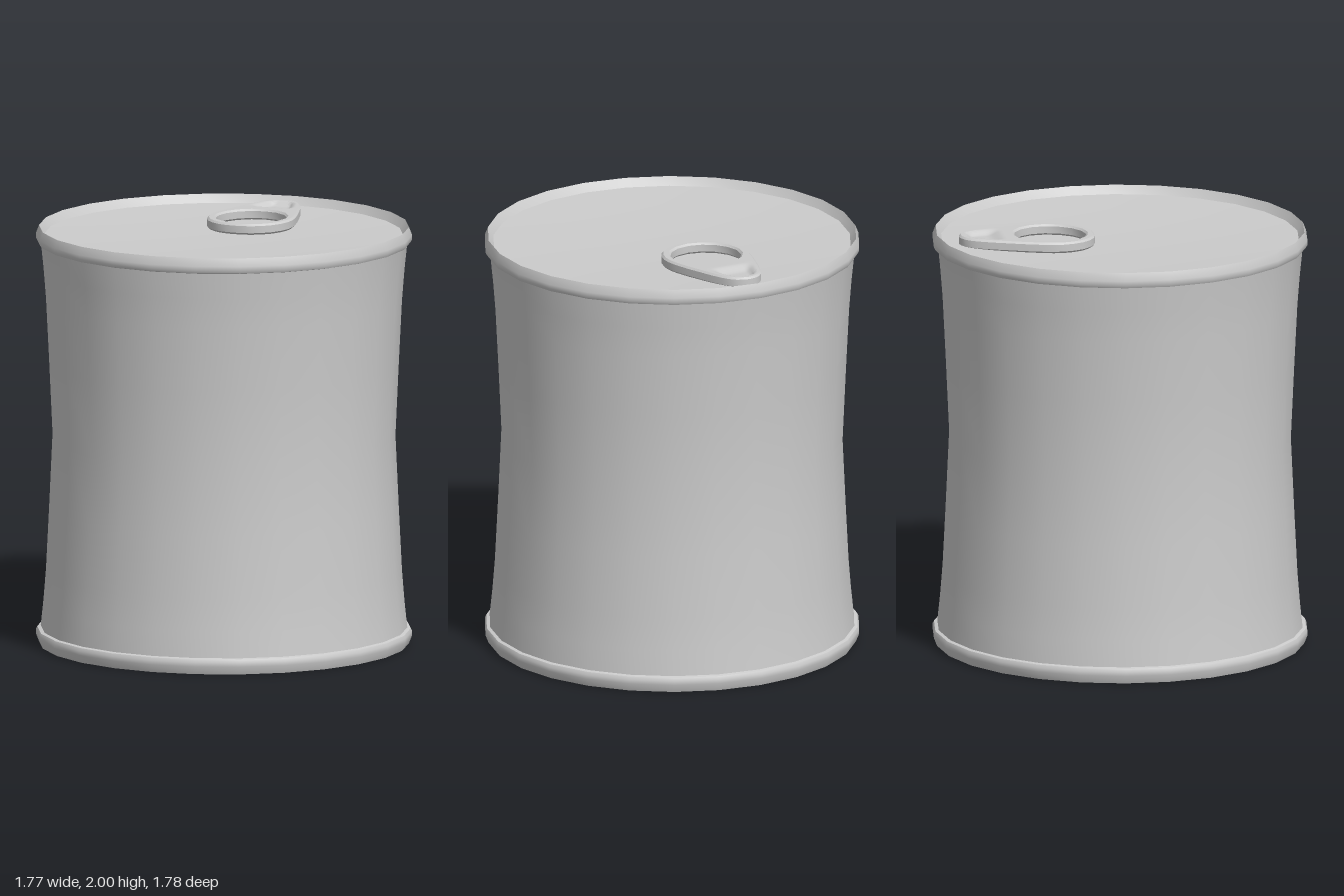
import * as THREE from 'three';
import { toCreasedNormals } from 'three/addons/utils/BufferGeometryUtils.js';

const SIDES = 26;
const TAB_Y = 1.937;
const TAB_THICKNESS = 0.0515;
const TAB_TILT = 0.014;
const { smoothstep } = THREE.MathUtils;
const material = new THREE.MeshStandardMaterial({ color: 0xcccccc });

function addPart(group, name, geometry, crease = 0.6) {
  const mesh = new THREE.Mesh(toCreasedNormals(geometry, crease), material);
  mesh.name = name;
  group.add(mesh);
}

// Turned part from [radius, height] pairs
function turned(pairs) {
  return new THREE.LatheGeometry(pairs.map(([r, y]) => new THREE.Vector2(r, y)), SIDES);
}

// Same profile turned upside down for the other end of the can
const flipped = (pairs) => pairs.map(([r, y]) => [r, 2 - y]).reverse();

// Closed smooth loop through one side's points, mirrored across x = 0
function mirroredLoop(half, divisions) {
  const mirrored = half.slice(1, -1).reverse().map(([x, y]) => [-x, y]);
  const points = [...half, ...mirrored].map(([x, y]) => new THREE.Vector3(x, y, 0));
  const loop = new THREE.CatmullRomCurve3(points, true).getPoints(divisions);
  loop.pop();
  return loop.map((p) => new THREE.Vector2(p.x, p.y));
}

// Softly pressed scoop: a grid of rows that narrow towards the tip
function scoopGeometry() {
  const rows = 24;
  const columns = 20;
  const edge = new THREE.SplineCurve([
    [0.128, 0.53], [0.128, 0.575], [0.108, 0.64], [0.08, 0.7], [0.05, 0.735], [0.015, 0.752],
  ].map(([w, d]) => new THREE.Vector2(w, d))).getPoints(rows);
  const geometry = new THREE.PlaneGeometry(2, 1, columns, rows);
  const pos = geometry.attributes.position;
  for (let i = 0; i < pos.count; i++) {
    const u = pos.getX(i);
    // The plane's first row is its far edge, the tip
    const { x: width, y: back } = edge[rows - Math.floor(i / (columns + 1))];
    const drop = 0.022 * (1 - smoothstep(Math.abs(u), 0.5, 0.9))
      * smoothstep(back, 0.558, 0.63) * (1 - smoothstep(back, 0.7, 0.745));
    pos.setXYZ(i, u * width, TAB_Y + TAB_THICKNESS + TAB_TILT * back + 0.0006 - drop, -back);
  }
  return geometry;
}

function createPullTab() {
  const tab = new THREE.Group();
  tab.name = 'pullTab';

  const outline = mirroredLoop([
    [0, 0.124], [0.085, 0.138], [0.165, 0.2], [0.205, 0.3], [0.198, 0.4],
    [0.152, 0.56], [0.105, 0.69], [0.062, 0.75], [0, 0.772],
  ], 32);
  const opening = mirroredLoop([
    [0, 0.57], [0.08, 0.57], [0.11, 0.576], [0.091, 0.64],
    [0.066, 0.7], [0.05, 0.72], [0, 0.733],
  ], 30);

  const shape = new THREE.Shape(outline);
  shape.holes.push(new THREE.Path().absellipse(0, 0.335, 0.167, 0.172, 0, Math.PI * 2, true));
  shape.holes.push(new THREE.Path(opening));

  const bevel = 0.009;
  const plate = new THREE.ExtrudeGeometry(shape, {
    depth: TAB_THICKNESS - 2 * bevel, bevelThickness: bevel, bevelSize: bevel,
    bevelOffset: -bevel, bevelSegments: 1, curveSegments: 8,
  });
  plate.rotateX(-Math.PI / 2);
  plate.translate(0, TAB_Y + bevel, 0);

  // The finger end sits slightly higher than the ring
  const pos = plate.attributes.position;
  for (let i = 0; i < pos.count; i++) {
    pos.setY(i, pos.getY(i) - TAB_TILT * pos.getZ(i));
  }
  addPart(tab, 'tabPlate', plate);
  addPart(tab, 'tabScoop', scoopGeometry(), 1.2);
  return tab;
}

export function createModel() {
  const can = new THREE.Group();
  can.name = 'tinCan';

  // Waisted wall
  addPart(can, 'wall', turned([
    [0.868, 0.076], [0.855, 0.2], [0.843, 0.35], [0.828, 0.65], [0.812, 1],
    [0.828, 1.35], [0.843, 1.65], [0.855, 1.8], [0.868, 1.924],
  ]));

  // Rolled seams around slightly dished ends, alike at top and bottom
  const seam = [
    [0.868, 1.924], [0.884, 1.928], [0.891, 1.942], [0.891, 1.962],
    [0.876, 2], [0.85, 1.96],
  ];
  const end = [[0.85, 1.96], [0.6, 1.948], [0.3, 1.939], [0, 1.936]];
  addPart(can, 'topSeam', turned(seam));
  addPart(can, 'lid', turned(end));
  addPart(can, 'bottomSeam', turned(flipped(seam)));
  addPart(can, 'base', turned(flipped(end)));

  can.add(createPullTab());
  return can;
}
